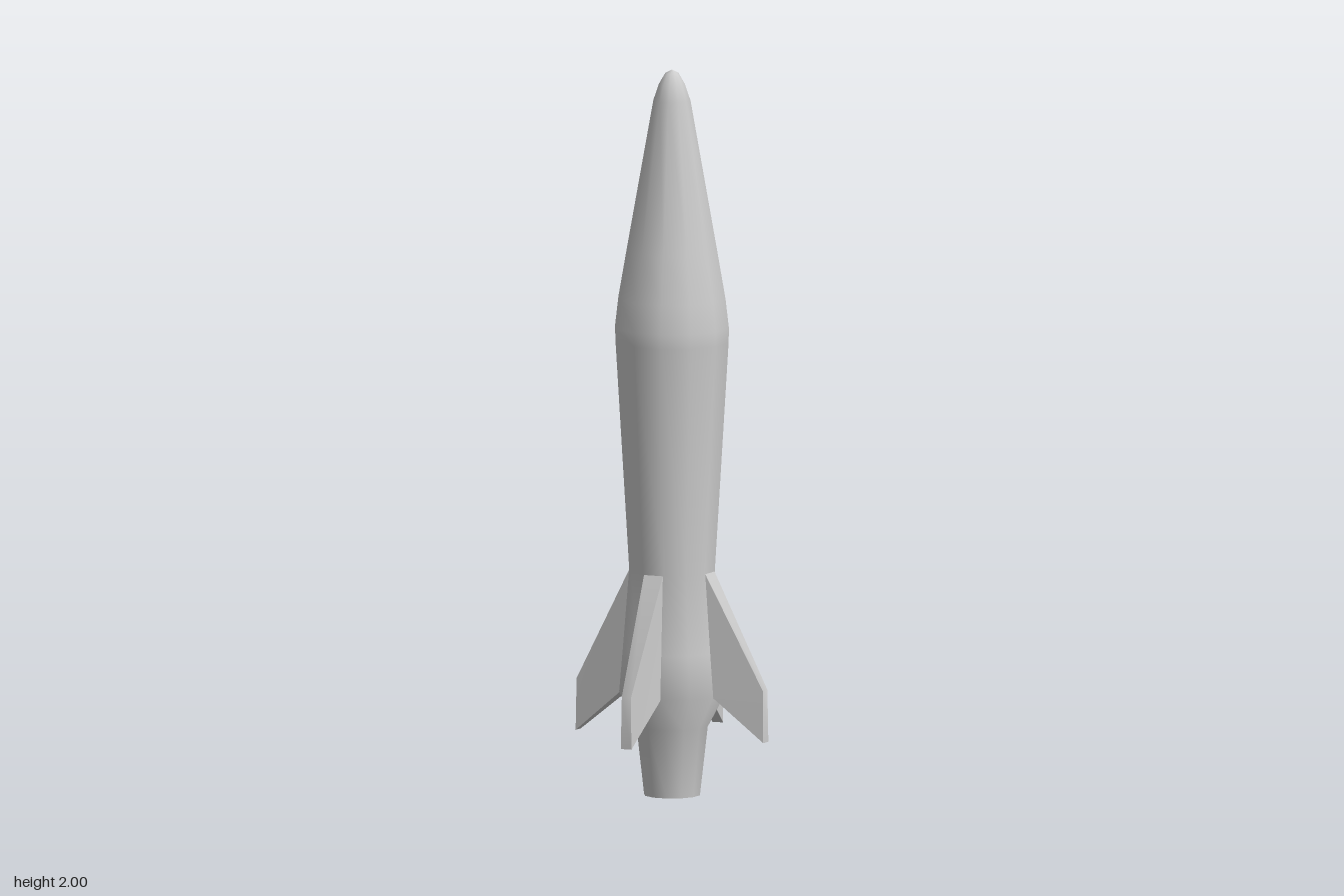
import * as THREE from 'three';
import { toCreasedNormals } from 'three/addons/utils/BufferGeometryUtils.js';

const SIDES = 12;
const TO_CORNER = 1 / Math.cos(Math.PI / SIDES); // flat-to-flat half width -> corner radius

// Twelve-sided lathe with flats facing the fins
function lathe(points) {
  const profile = points.map(([r, y]) => new THREE.Vector2(r * TO_CORNER, y));
  return new THREE.LatheGeometry(profile, SIDES, Math.PI / SIDES);
}

// Swept fin pointing along +x; each corner is [x, y, half thickness]
function finGeometry() {
  const loop = ([top, bottom]) => [
    [top[0], top[1], top[2]], [top[0], top[1], -top[2]],
    [bottom[0], bottom[1], -bottom[2]], [bottom[0], bottom[1], bottom[2]],
  ];
  const root = loop([[0.1, 0.647, 0.03], [0.1, 0.313, 0.039]]);
  const tip = loop([[0.283, 0.305, 0.014], [0.285, 0.162, 0.016]]);
  const index = [4, 7, 6, 4, 6, 5];
  for (let i = 0; i < 4; i++) {
    const j = (i + 1) % 4;
    index.push(i, i + 4, j + 4, i, j + 4, j);
  }
  const geometry = new THREE.BufferGeometry();
  geometry.setAttribute('position', new THREE.Float32BufferAttribute([...root, ...tip].flat(), 3));
  geometry.setIndex(index);
  return toCreasedNormals(geometry, Math.PI / 6);
}

export function createModel() {
  const group = new THREE.Group();
  const grey = new THREE.MeshStandardMaterial({ color: 0xcccccc });
  grey.name = 'light grey';

  const add = (name, geometry) => {
    const mesh = new THREE.Mesh(geometry, grey);
    mesh.name = name;
    group.add(mesh);
    return mesh;
  };

  // Tail cone, swollen fin section, tapered hull and rounded nose
  add('hull', lathe([
    [0.075, 0], [0.096, 0.19], [0.142, 0.28], [0.132, 0.4], [0.115, 0.62],
    [0.152, 1.25], [0.153, 1.29], [0.144, 1.37], [0.122, 1.5], [0.05, 1.915],
    [0.035, 1.96], [0.018, 1.99], [0, 2],
  ]));

  // Exhaust opening: rim and recessed bore
  add('nozzleRim', lathe([[0.05, 0], [0.075, 0]]));
  add('nozzleBore', toCreasedNormals(lathe([[0, 0.08], [0.042, 0.08], [0.05, 0]]), Math.PI / 4));

  // Four fins around the tail
  const fin = finGeometry();
  for (let i = 0; i < 4; i++) {
    add('fin' + (i + 1), fin).rotation.y = i * Math.PI / 2;
  }
  return group;
}
